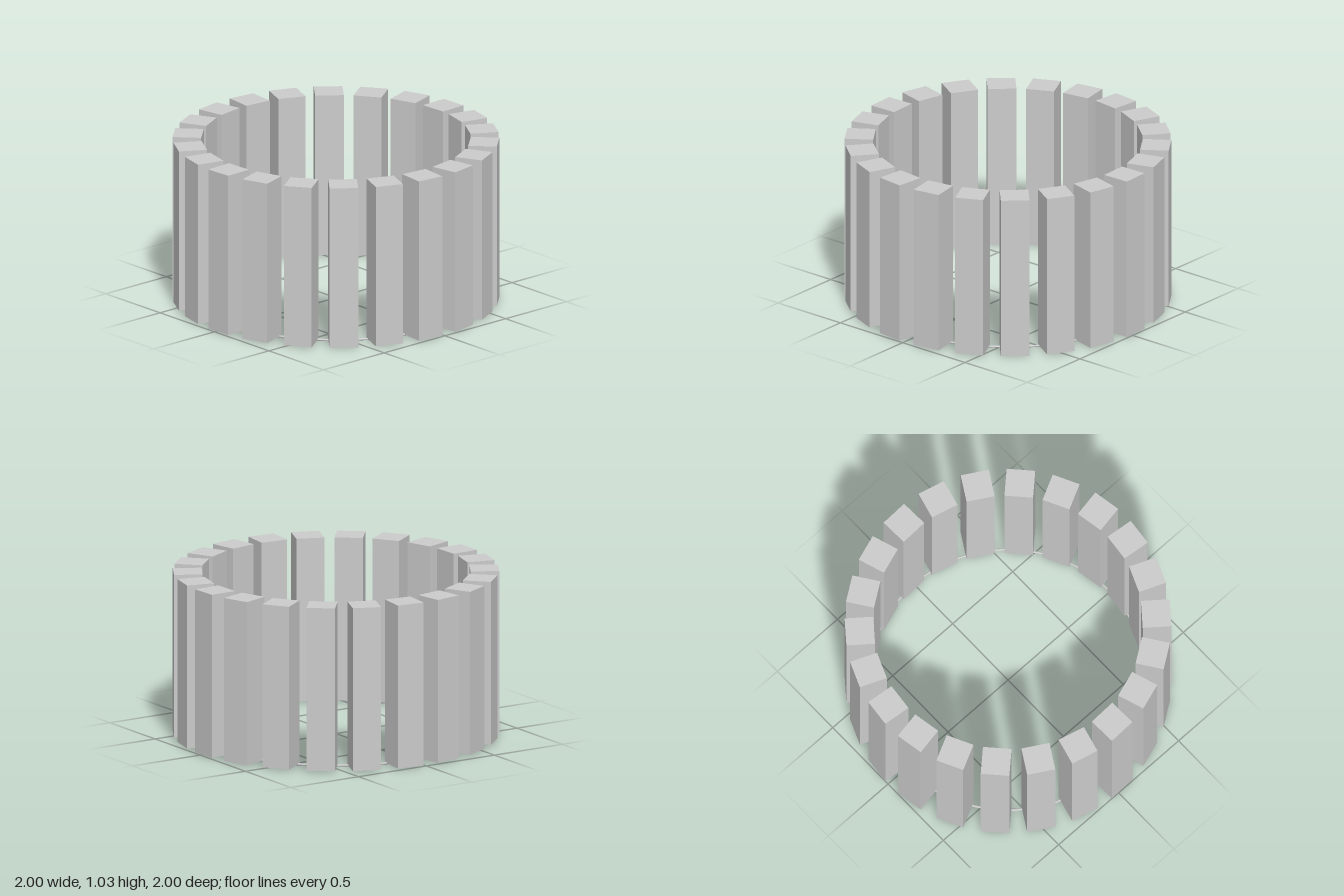
import * as THREE from 'three';

const COUNT = 22;        // posts around the circle
const POST_RADIUS = 0.91;
const POST_WIDTH = 0.176;
const TOP = 1.035;
const WIRE = 0.007;      // wire thickness radius
const OFFSET = -0.032;   // angle of the first post

export function createModel() {
  const model = new THREE.Group();
  const material = new THREE.MeshStandardMaterial({ color: 0xcccccc });

  // Square posts, each turned to face outwards
  const posts = new THREE.Group();
  posts.name = 'posts';
  const height = TOP - WIRE;
  const postGeometry = new THREE.BoxGeometry(POST_WIDTH, height, POST_WIDTH);
  for (let i = 0; i < COUNT; i++) {
    const angle = OFFSET + (i / COUNT) * Math.PI * 2;
    const post = new THREE.Mesh(postGeometry, material);
    post.name = `post${i + 1}`;
    post.position.set(Math.cos(angle) * POST_RADIUS, WIRE + height / 2, Math.sin(angle) * POST_RADIUS);
    post.rotation.y = -angle;
    posts.add(post);
  }
  model.add(posts);

  // Thin wire ring joining the feet of the posts
  const ring = new THREE.Mesh(new THREE.TorusGeometry(0.85, WIRE, 8, 64), material);
  ring.name = 'baseRing';
  ring.rotation.x = Math.PI / 2;
  ring.position.y = WIRE;
  model.add(ring);

  return model;
}
